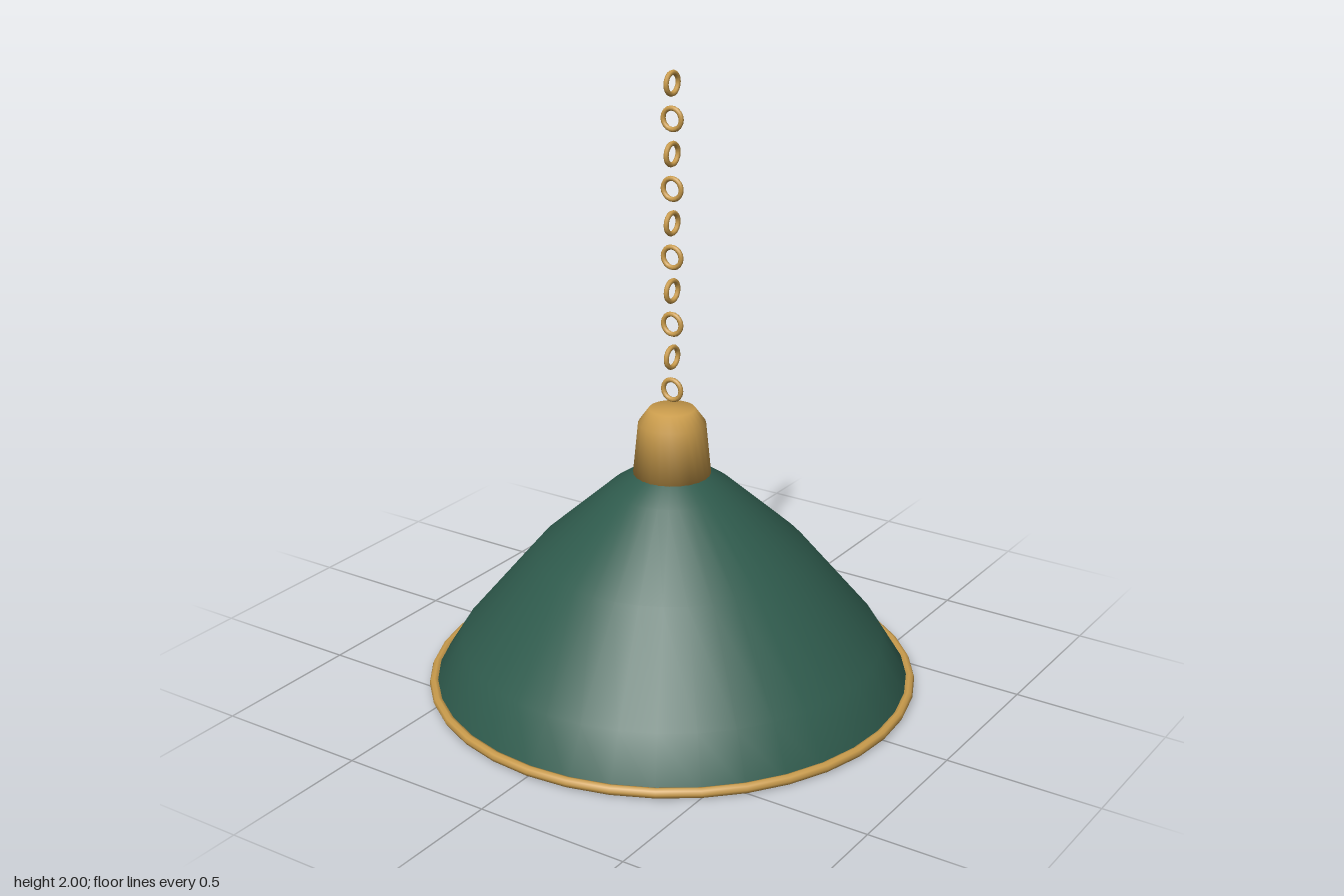
import * as THREE from 'three';

const SEGMENTS = 36;

export function createModel() {
  const lamp = new THREE.Group();
  lamp.name = 'pendantLamp';

  const green = new THREE.MeshStandardMaterial({ color: 0x2f5b4d });
  green.name = 'green enamel';
  const brass = new THREE.MeshStandardMaterial({ color: 0xca9c4c });
  brass.name = 'brass';
  const cream = new THREE.MeshStandardMaterial({ color: 0xffdca0 });
  cream.name = 'warm bulb glass';

  const add = (name, geometry, material, y = 0, parent = lamp) => {
    const mesh = new THREE.Mesh(geometry, material);
    mesh.name = name;
    mesh.position.y = y;
    parent.add(mesh);
    return mesh;
  };
  const lathe = (profile, segments) =>
    new THREE.LatheGeometry(profile.map(([r, y]) => new THREE.Vector2(r, y)), segments);

  // Double-walled shade: up the inside is listed first in reverse, then the lip and the outside
  add('shade', lathe([
    [0.09, 0.7], [0.175, 0.648], [0.415, 0.435], [0.657, 0.145], [0.745, 0.005],
    [0.775, 0.005], [0.68, 0.16], [0.435, 0.455], [0.195, 0.67], [0.12, 0.72],
  ], SEGMENTS), green);

  // Rolled brass rim
  const rim = add('rim', new THREE.TorusGeometry(0.773, 0.016, 8, SEGMENTS), brass, 0.016);
  rim.rotation.x = Math.PI / 2;

  // Brass cap over the neck, softly shaded and closed at both ends
  add('cap', lathe([[0, 0.715], [0.124, 0.715], [0.107, 0.885], [0.073, 0.932], [0, 0.932]], 24), brass);

  // Pear-shaped bulb and its socket inside the shade
  add('socket', new THREE.CylinderGeometry(0.06, 0.06, 0.22, 20), brass, 0.61);
  add('bulb', lathe([[0, 0.14], [0.1, 0.165], [0.157, 0.285], [0.12, 0.42], [0.06, 0.52], [0, 0.52]], 24), cream);

  // Chain of round links, every second one turned a quarter
  const chain = new THREE.Group();
  chain.name = 'chain';
  lamp.add(chain);
  const link = new THREE.TorusGeometry(0.0325, 0.008, 8, 18);
  for (let i = 0; i < 10; i++) {
    const ring = add('chainLink', link, brass, 0.9935 + i * 0.1073, chain);
    ring.rotation.y = (i % 2) * Math.PI / 2;
  }

  return lamp;
}
